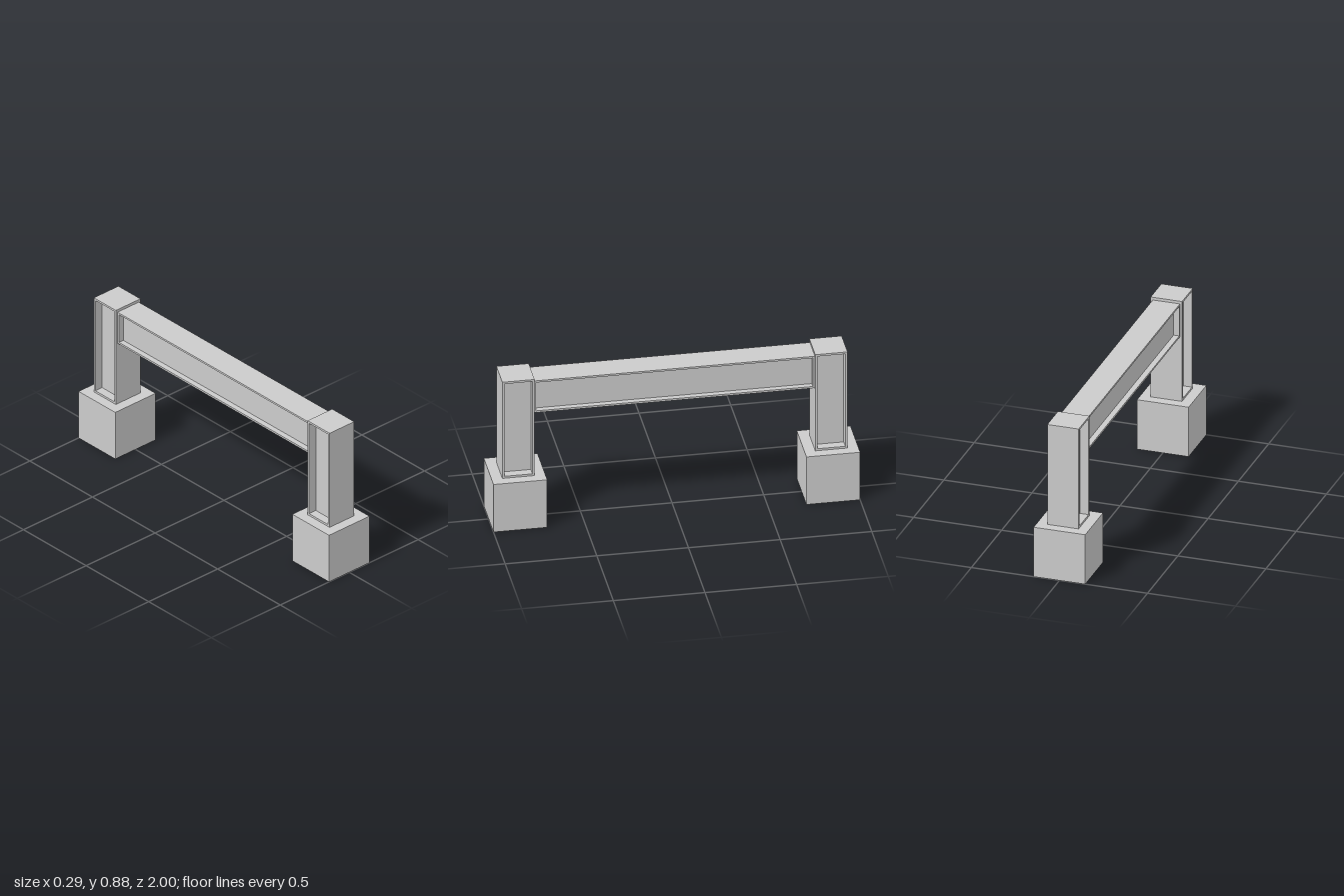
import * as THREE from 'three';

const material = new THREE.MeshStandardMaterial({ color: 0xcccccc });

function addMesh(parent, name, geometry) {
  const mesh = new THREE.Mesh(geometry, material);
  mesh.name = name;
  parent.add(mesh);
  return mesh;
}

// Rectangle centred on the origin, as a Shape or a Path
function rectangle(Type, w, h) {
  return new Type([[-1, -1], [1, -1], [1, 1], [-1, 1]].map(
    ([x, y]) => new THREE.Vector2(x * w / 2, y * h / 2)));
}

// Box section with a rimmed recess on its left and right sides
function recessedMember(name, width, height, length, rim, webWidth) {
  const group = new THREE.Group();
  group.name = name;
  const innerL = length - 2 * rim;
  const innerH = height - 2 * rim;
  const shape = rectangle(THREE.Shape, length, height);
  shape.holes.push(rectangle(THREE.Path, innerL, innerH));
  const frame = new THREE.ExtrudeGeometry(shape, { depth: width, bevelEnabled: false });
  frame.translate(0, 0, -width / 2).rotateY(Math.PI / 2);
  addMesh(group, name + 'Flanges', frame);
  addMesh(group, name + 'Web', new THREE.BoxGeometry(webWidth, innerH, innerL));
  return group;
}

export function createModel() {
  const model = new THREE.Group();
  model.name = 'barrier';
  const base = 0.293, postHeight = 0.592, postZ = 1 - base / 2;

  // Footing block and post at each end
  for (const [end, s] of [['front', 1], ['back', -1]]) {
    addMesh(model, end + 'Footing', new THREE.BoxGeometry(base, base, base))
      .position.set(0, base / 2, s * postZ);
    const post = recessedMember(end + 'Post', 0.178, postHeight, 0.176, 0.012, 0.08);
    post.position.set(0, base + postHeight / 2, s * postZ);
    model.add(post);
  }

  // Crossbeam between the posts
  const beam = recessedMember('crossbeam', 0.154, 0.196, 2 * (postZ - 0.088), 0.011, 0.09);
  beam.position.y = 0.771;
  model.add(beam);
  return model;
}
